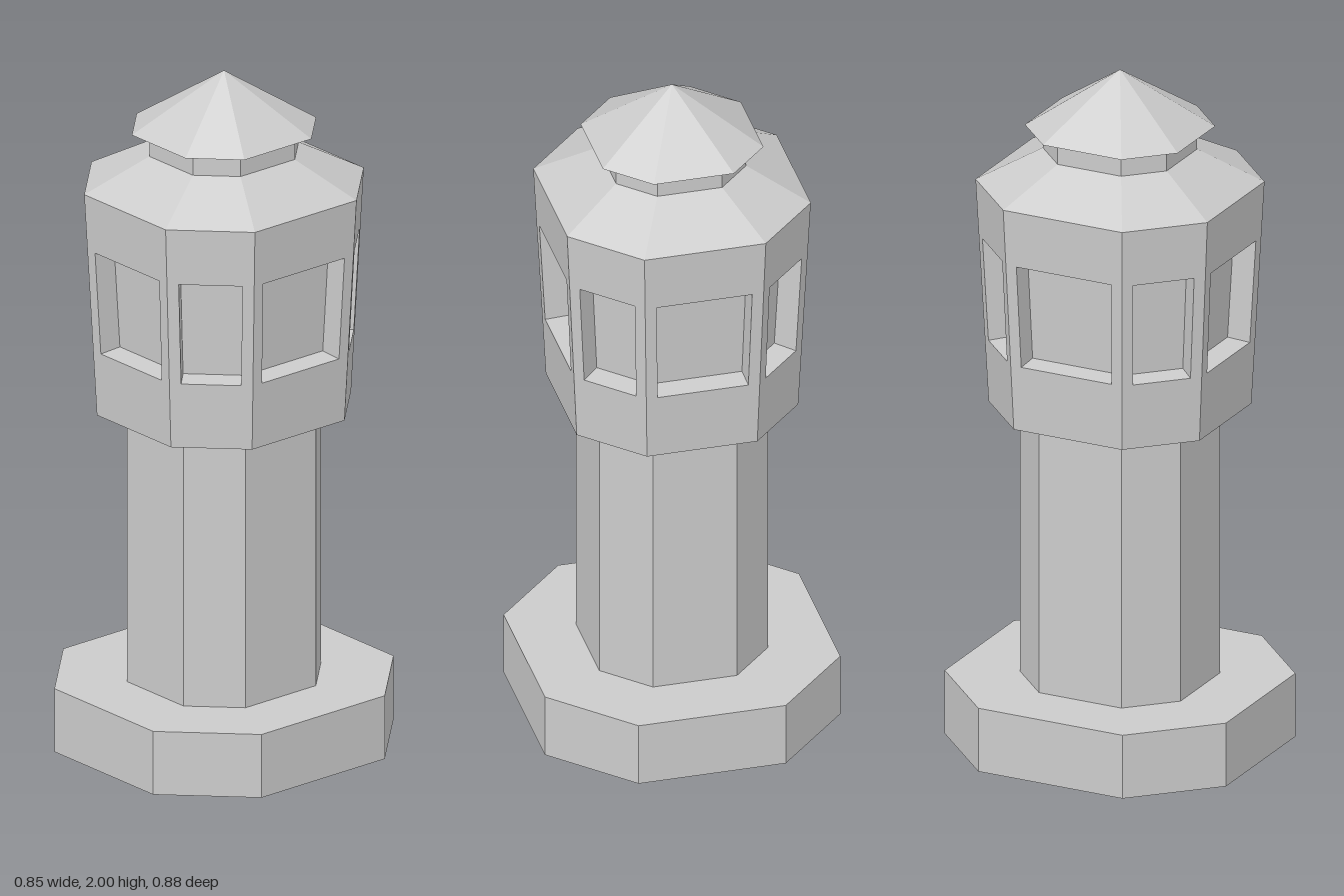
import * as THREE from 'three';

// Corners of the slightly deep octagon, running left to right seen from outside
const OCTAGON = [[-0.498, 1.034], [0.498, 1.034], [1, 0.53], [1, -0.53],
  [0.498, -1.034], [-0.498, -1.034], [-1, -0.53], [-1, 0.53]];

const material = new THREE.MeshStandardMaterial({
  color: 0xcccccc, flatShading: true, side: THREE.DoubleSide,
});

const corner = (i, [r, y]) => {
  const [x, z] = OCTAGON[i % 8];
  return new THREE.Vector3(x * r, y, z * r);
};

function meshFrom(name, points) {
  const geometry = new THREE.BufferGeometry().setFromPoints(points);
  geometry.computeVertexNormals();
  const mesh = new THREE.Mesh(geometry, material);
  mesh.name = name;
  return mesh;
}

const quad = (out, a, b, c, d) => out.push(a, b, c, a, c, d);

// Octagonal shell following a profile of [radius, height] pairs
function shell(name, profile) {
  const out = [];
  for (let k = 0; k < profile.length - 1; k++) {
    const low = profile[k], high = profile[k + 1];
    for (let i = 0; i < 8; i++) {
      const a = corner(i, low), b = corner(i + 1, low), c = corner(i + 1, high);
      if (high[0] === 0) out.push(a, b, c);
      else quad(out, a, b, c, corner(i, high));
    }
  }
  return meshFrom(name, out);
}

// Flared cabin walls, each with a recessed window
function cabinWalls(low, high) {
  const walls = [], reveals = [], panes = [];
  const margin = 0.033, depth = 0.07, sill = 1.195, head = 1.5;
  for (let i = 0; i < 8; i++) {
    const face = [corner(i, low), corner(i + 1, low), corner(i + 1, high), corner(i, high)];
    const normal = face[1].clone().sub(face[0])
      .cross(face[3].clone().sub(face[0])).normalize();
    // Point on the wall at height y, one margin in from its left or right edge
    const onWall = (y, fromRight) => {
      const t = (y - low[1]) / (high[1] - low[1]);
      const left = face[0].clone().lerp(face[3], t);
      const right = face[1].clone().lerp(face[2], t);
      const m = margin / left.distanceTo(right);
      return left.lerp(right, fromRight ? 1 - m : m);
    };
    const rim = [onWall(sill, false), onWall(sill, true), onWall(head, true), onWall(head, false)];
    const inner = rim.map((p) => p.clone().addScaledVector(normal, -depth));
    for (let k = 0; k < 4; k++) {
      const n = (k + 1) % 4;
      quad(walls, face[k], face[n], rim[n], rim[k]);
      quad(reveals, rim[k], rim[n], inner[n], inner[k]);
    }
    quad(panes, ...inner);
  }
  const cabin = new THREE.Group();
  cabin.name = 'cabin';
  cabin.add(meshFrom('cabinWalls', walls), meshFrom('windowReveals', reveals),
    meshFrom('windowPanes', panes));
  return cabin;
}

export function createModel() {
  const tower = new THREE.Group();
  tower.name = 'tower';
  tower.add(
    // Hollow plinth, open underneath and into the shaft
    shell('base', [[0.427, 0], [0.427, 0.19], [0.244, 0.19]]),
    shell('shaft', [[0.244, 0.19], [0.244, 1.0]]),
    shell('cabinFloor', [[0.244, 1.0], [0.32, 1.0]]),
    cabinWalls([0.32, 1.0], [0.352, 1.667]),
    shell('lowerRoof', [[0.352, 1.667], [0.188, 1.763]]),
    shell('neck', [[0.188, 1.763], [0.188, 1.832]]),
    // Eave underside and pointed cap
    shell('capRoof', [[0.188, 1.832], [0.232, 1.832], [0, 2]]),
  );
  return tower;
}
